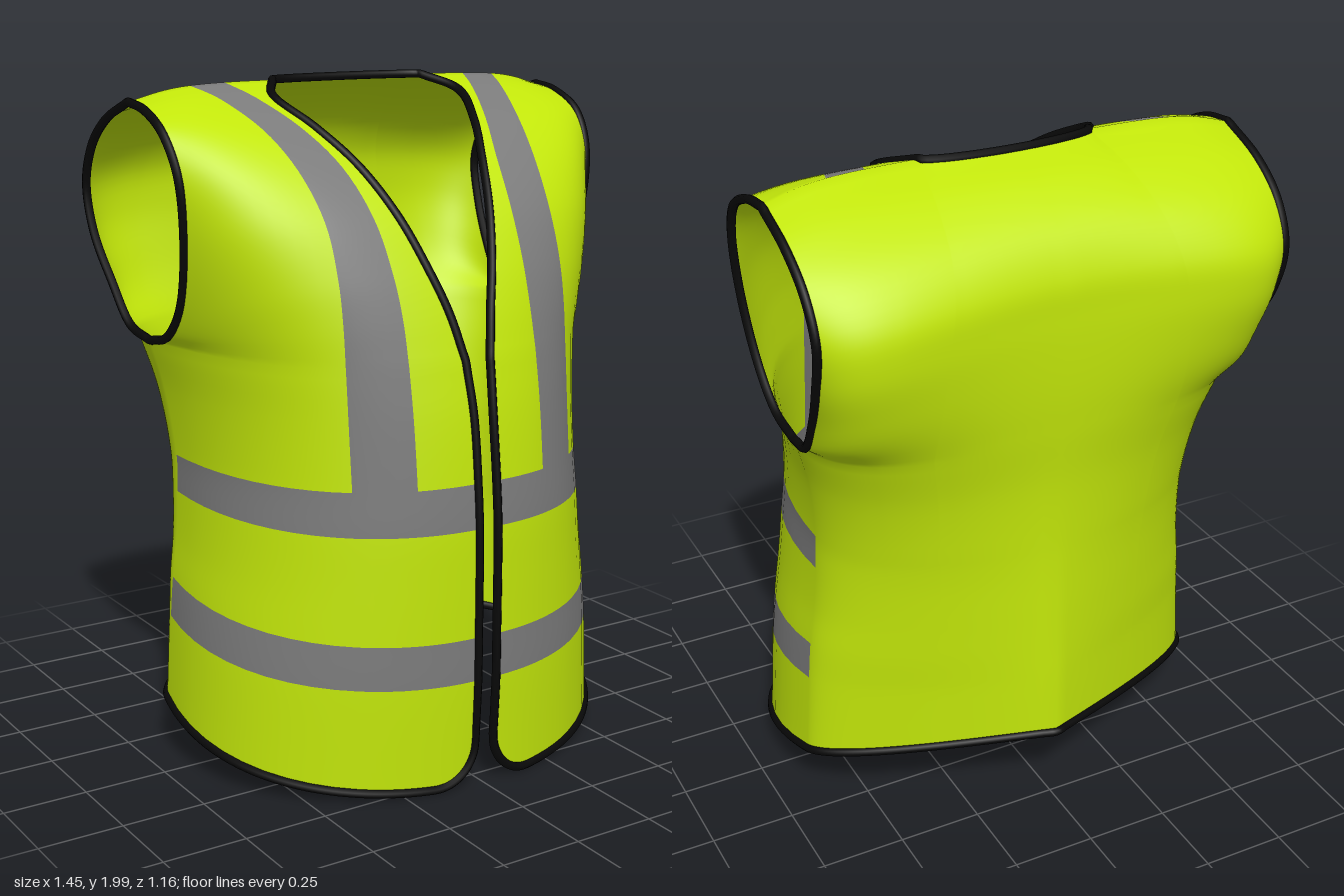
import * as THREE from 'three';
import { mergeVertices } from 'three/addons/utils/BufferGeometryUtils.js';

const V = (a) => new THREE.Vector3(...a);

// Rows from hem to armpit: front opening edge, side seam, back centre
const TORSO = [
  [[.032, .014, .56], [.655, .165, -.16], [0, .25, -.53]],
  [[.032, .33, .57], [.638, .42, -.16], [0, .44, -.525]],
  [[.032, .46, .57], [.628, .54, -.16], [0, .55, -.52]],
  [[.032, .62, .57], [.612, .66, -.16], [0, .67, -.515]],
  [[.032, .78, .568], [.602, .80, -.165], [0, .80, -.51]],
  [[.032, .91, .558], [.60, .91, -.17], [0, .91, -.508]],
  [[.033, 1.1, .535], [.62, 1.1, -.19], [0, 1.1, -.513]],
  [[.042, 1.25, .505], [.66, 1.255, -.2], [0, 1.26, -.528]],
];
// Rows from armpit to shoulder: neck edge, front armhole, back centre, back armhole,
// stripe (inner x, outer x, row number)
const YOKE = [
  [[.042, 1.25, .505], [.66, 1.255, -.2], [0, 1.26, -.528], [.66, 1.255, -.2], [.215, .375, 0]],
  [[.07, 1.38, .465], [.664, 1.285, -.08], [0, 1.38, -.538], [.67, 1.285, -.31], [.215, .375, 1]],
  [[.108, 1.5, .415], [.67, 1.385, .02], [0, 1.5, -.543], [.683, 1.4, -.4], [.22, .375, 2]],
  [[.155, 1.64, .335], [.686, 1.58, .085], [0, 1.62, -.543], [.70, 1.54, -.48], [.232, .378, 3]],
  [[.21, 1.77, .22], [.70, 1.76, .085], [0, 1.73, -.535], [.705, 1.68, -.51], [.262, .40, 4]],
  [[.272, 1.87, .09], [.71, 1.87, .02], [0, 1.84, -.48], [.708, 1.795, -.455], [.315, .435, 5]],
  [[.318, 1.947, -.062], [.71, 1.925, -.09], [0, 1.93, -.36], [.71, 1.88, -.345], [.375, .485, 6]],
  [[.258, 1.986, -.174], [.71, 1.94, -.19], [0, 1.986, -.22], [.71, 1.94, -.19], [.415, .525, 7]],
];
const SPANS = 7, SUB = 5, ROWS = SPANS * SUB;
const COLS = [10, 4, 10]; // columns inside, on and outside the vertical stripe
const NECK = 8, NECK_U = 0.38;

const spline = (rows, k) => new THREE.CatmullRomCurve3(rows.map((r) => V(r[k])));
const ease = (v) => v * v * (3 - 2 * v);

// Cross-section from a centre point a to a side point b; k1 and k2 set the fullness
// at each end, z1, x2 and z2 shift the handles
function section(a, b, { k1, k2, z1 = 0, x2 = 0, z2 = 0 }) {
  const d = b.clone().sub(a);
  const p1 = new THREE.Vector3(a.x + k1 * d.x, a.y - .2 * z1, a.z + z1);
  const p2 = new THREE.Vector3(b.x + x2, b.y - k2 * d.y, b.z - k2 * d.z + z2);
  return new THREE.CubicBezierCurve3(a, p1, p2, b);
}

// Front: full and round below, flaring out to the armhole above
function frontSection(a, b, v, isYoke) {
  if (!isYoke) {
    return section(a, b, { k1: .57 + .06 * v, k2: .65, x2: .1 * (1 - v) - .05 * v ** 4 });
  }
  const f = ease(v);
  return section(a, b, { k1: .63 + .06 * f, k2: .65 + .1 * f, x2: -.05 - .15 * f * (b.x - a.x) });
}

// Back: tapered at the hem, bulging over the shoulder blades
function backSection(a, b, v, isYoke) {
  const t = Math.max(0, (v + (isYoke ? 1 : 0) - .65) / 1.35);
  const z2 = -.145 * Math.sin(Math.PI * t) ** 2;
  if (isYoke) {
    const f = ease(v);
    return section(a, b, { k1: .57 - .15 * f, k2: .68, x2: -.3 * f * (b.x - a.x), z2 });
  }
  const h = 1 - v;
  return section(a, b, { k1: .57 - .12 * h, k2: .68 - .34 * h, z1: .11 * h, x2: -.03 * h, z2 });
}

function uAtX(curve, x) {
  let lo = 0, hi = 1;
  for (let i = 0; i < 25; i++) {
    const m = (lo + hi) / 2;
    if (curve.getPoint(m).x < x) lo = m; else hi = m;
  }
  return lo;
}

// Column positions along a front row, aligned to the stripe edges
function columns(curve, x0, x1) {
  const cuts = [0, uAtX(curve, x0), uAtX(curve, x1), 1], us = [0];
  COLS.forEach((n, s) => {
    for (let i = 1; i <= n; i++) {
      const t = s === 0 ? (i / n) ** 1.7 : i / n;
      us.push(cuts[s] + (cuts[s + 1] - cuts[s]) * t);
    }
  });
  return us;
}

function frontGrid(rows, isYoke) {
  const inner = spline(rows, 0), outer = spline(rows, 1);
  const stripe = isYoke ? spline(rows, 4) : null;
  const grid = [];
  for (let r = 0; r <= ROWS; r++) {
    const v = r / ROWS;
    const c = frontSection(inner.getPoint(v), outer.getPoint(v), v, isYoke);
    const s = stripe ? stripe.getPoint(v) : { x: .215, y: .375 };
    grid.push(columns(c, s.x, s.y).map((u) => {
      const p = c.getPoint(u);
      // rounded lower corner beside the opening
      const R = .13, d = Math.max(0, p.x - .032), fade = isYoke ? 0 : Math.max(0, 1 - SPANS * v);
      if (d < R) p.y += fade * (R - Math.sqrt(R * R - (R - d) ** 2));
      return p;
    }));
  }
  return grid;
}

function backGrid(rows, isYoke, shoulder) {
  const centre = spline(rows, 2), outer = spline(rows, isYoke ? 3 : 1);
  const top = V(YOKE[SPANS][2]), tip = shoulder[0];
  // top edge: neckline, then the shoulder seam shared with the front
  const edge = [], us = [];
  for (let i = 0; i < NECK; i++) {
    const a = (i / NECK) * Math.PI / 2;
    us.push(NECK_U * i / NECK);
    edge.push(new THREE.Vector3(tip.x * Math.sin(a), top.y, tip.z + (top.z - tip.z) * Math.cos(a)));
  }
  shoulder.forEach((p) => {
    us.push(NECK_U + (1 - NECK_U) * (p.x - tip.x) / (shoulder.at(-1).x - tip.x));
    edge.push(p);
  });
  const rowCurve = (v) => backSection(centre.getPoint(v), outer.getPoint(v), v, isYoke);
  const last = rowCurve(1), grid = [];
  for (let r = 0; r <= ROWS; r++) {
    const v = r / ROWS, c = rowCurve(v), w = isYoke ? v ** 5 : 0;
    grid.push(us.map((u, j) =>
      c.getPoint(u).addScaledVector(edge[j].clone().sub(last.getPoint(u)), w)));
  }
  return grid;
}

export function createModel() {
  const mat = (name, color) => {
    const m = new THREE.MeshStandardMaterial({ color, side: THREE.DoubleSide });
    m.name = name;
    return m;
  };
  const lime = mat('lime fabric', 0xc2e60a);
  const grey = mat('grey reflective tape', 0x7b7b7b);
  const black = mat('black binding', 0x080808);

  const frontLow = frontGrid(TORSO, false), frontTop = frontGrid(YOKE, true);
  const shoulder = frontTop[ROWS];
  const backLow = backGrid(TORSO, false, shoulder), backTop = backGrid(YOKE, true, shoulder);

  // Fabric shell, both halves, sorted into lime and grey faces
  const faces = { lime: [], grey: [] };
  const addGrid = (grid, flip, isGrey) => {
    for (let r = 0; r < ROWS; r++) {
      for (let c = 0; c < grid[0].length - 1; c++) {
        const list = isGrey(Math.floor(r / SUB), c) ? faces.grey : faces.lime;
        const [a, b, d, e] = [grid[r][c], grid[r][c + 1], grid[r + 1][c + 1], grid[r + 1][c]];
        for (const side of [1, -1]) {
          const quad = (side < 0) !== flip ? [a, d, b, a, e, d] : [a, b, d, a, d, e];
          quad.forEach((p) => list.push(side * p.x, p.y, p.z));
        }
      }
    }
  };
  const onStripe = (c) => c >= COLS[0] && c < COLS[0] + COLS[1];
  addGrid(frontLow, false, (s, c) => s === 1 || s === 4 || (s >= 5 && onStripe(c)));
  addGrid(frontTop, false, (s, c) => onStripe(c));
  addGrid(backLow, true, () => false);
  addGrid(backTop, true, () => false);

  let shell = new THREE.BufferGeometry();
  shell.setAttribute('position',
    new THREE.Float32BufferAttribute(faces.lime.concat(faces.grey), 3));
  shell = mergeVertices(shell, 1e-4);
  shell.computeVertexNormals();
  const nLime = faces.lime.length / 3;
  shell.addGroup(0, nLime, 0);
  shell.addGroup(nLime, faces.grey.length / 3, 1);

  const model = new THREE.Group();
  model.name = 'safetyVest';
  const add = (name, geometry, material) => {
    const mesh = new THREE.Mesh(geometry, material);
    mesh.name = name;
    model.add(mesh);
  };
  add('vestFabric', shell, [lime, grey]);

  // Binding tubes along the free edges
  const binding = (name, pts, segments) => {
    const clean = pts.filter((p, i) => p.distanceTo(pts[(i + 1) % pts.length]) > 1e-3);
    const path = new THREE.CatmullRomCurve3(clean, true);
    add(name, new THREE.TubeGeometry(path, segments, .013, 8, true), black);
  };
  const mirror = (pts) => pts.map((p) => new THREE.Vector3(-p.x, p.y, p.z)).reverse();

  const half = [
    ...backLow[0], ...[...frontLow[0]].reverse(),
    ...frontLow.map((r) => r[0]), ...frontTop.map((r) => r[0]),
    ...backTop[ROWS].slice(0, NECK + 1).reverse(),
  ];
  binding('edgeBinding', [...half, ...mirror(half)], 700);

  const arm = [...frontTop.map((r) => r.at(-1)), ...backTop.map((r) => r.at(-1)).reverse()];
  binding('leftArmholeBinding', arm, 140);
  binding('rightArmholeBinding', mirror(arm), 140);
  return model;
}
